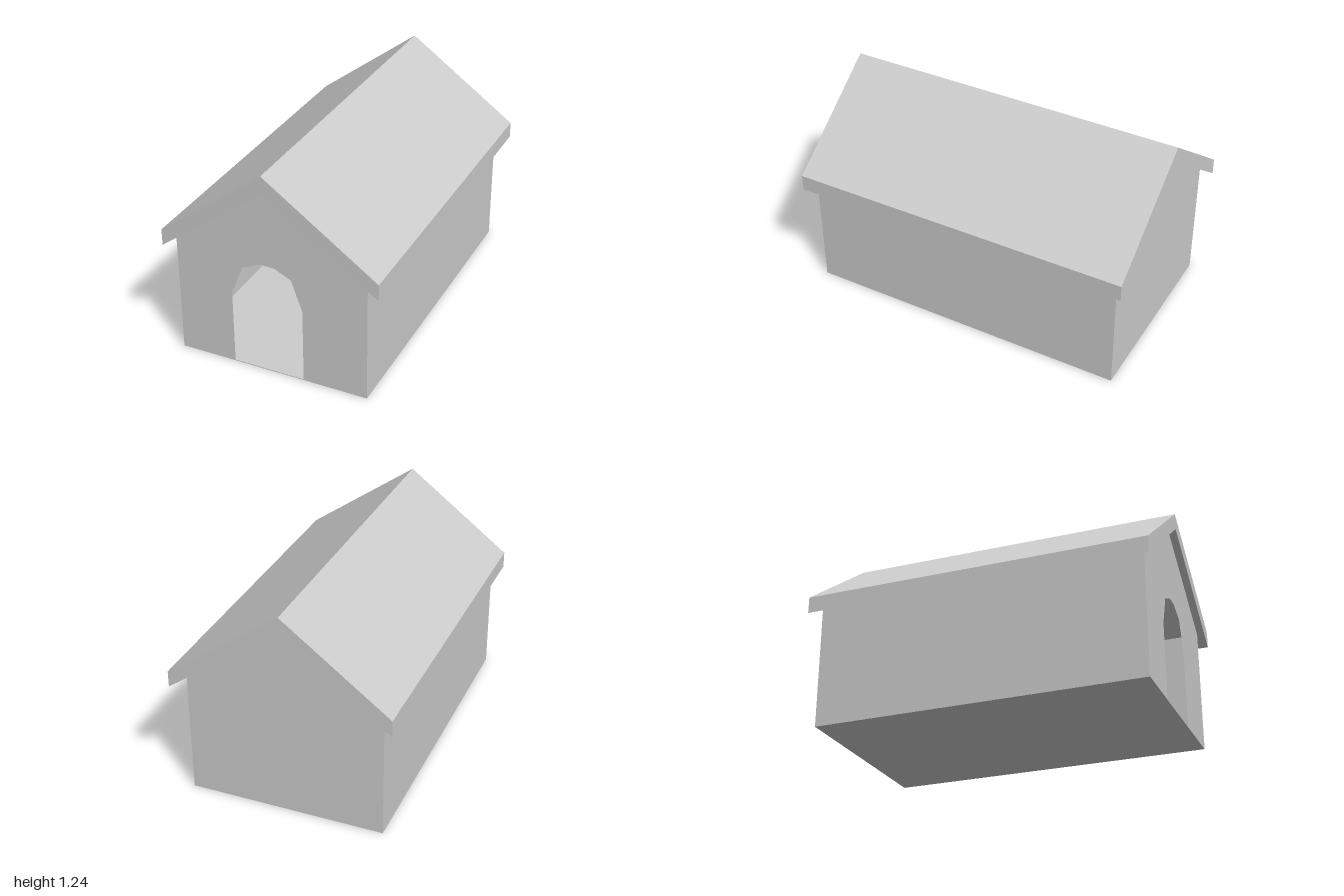
import * as THREE from 'three';

const material = new THREE.MeshStandardMaterial({ color: 0xcccccc, flatShading: true, side: THREE.DoubleSide });

// wall box limits and the shared ridge position
const LEFT = 0.553, RIGHT = -0.572, FRONT = 0.96, BACK = -0.94, EAVE = 0.722;
const RIDGE_X = -0.02, RIDGE_Y = 1.133;

const points = (list) => list.map(([x, y]) => new THREE.Vector2(x, y));

export function createModel() {
  const model = new THREE.Group();
  model.name = 'kennel';

  const add = (name, geometry, x = 0, y = 0, z = 0) => {
    const mesh = new THREE.Mesh(geometry, material);
    mesh.name = name;
    mesh.position.set(x, y, z);
    model.add(mesh);
    return mesh;
  };

  // gable walls, the front one with an arched doorway
  const gable = () => new THREE.Shape(points([
    [RIGHT, 0], [LEFT, 0], [LEFT, EAVE], [RIDGE_X, RIDGE_Y], [RIGHT, EAVE],
  ]));
  const frontShape = gable();
  frontShape.holes.push(new THREE.Path(points([
    [-0.243, 0.005], [-0.243, 0.445], [-0.175, 0.623], [-0.07, 0.671],
    [0.015, 0.671], [0.115, 0.623], [0.178, 0.445], [0.178, 0.005],
  ])));
  add('frontWall', new THREE.ShapeGeometry(frontShape), 0, 0, FRONT);
  add('backWall', new THREE.ShapeGeometry(gable()).rotateY(Math.PI).scale(-1, 1, 1)
    .rotateY(0), 0, 0, BACK);

  // thin side walls and floor
  const depth = FRONT - BACK, midZ = (FRONT + BACK) / 2;
  for (const [name, x, turn] of [['leftWall', LEFT, 1], ['rightWall', RIGHT, -1]]) {
    add(name, new THREE.PlaneGeometry(depth, EAVE).rotateY(turn * Math.PI / 2), x, EAVE / 2, midZ);
  }
  add('floor', new THREE.PlaneGeometry(LEFT - RIGHT, depth).rotateX(Math.PI / 2),
    (LEFT + RIGHT) / 2, 0, midZ);

  // overhanging roof slab, very slightly higher at the back
  const roofShape = new THREE.Shape(points([
    [-0.635, 0.672], [RIDGE_X, RIDGE_Y], [0.632, 0.671],
    [0.632, 0.766], [RIDGE_X, 1.232], [-0.635, 0.769],
  ]));
  const roofGeometry = new THREE.ExtrudeGeometry(roofShape, { depth: 2, bevelEnabled: false });
  add('roof', roofGeometry.translate(0, 0, -1)).rotation.x = 0.0033;

  return model;
}
